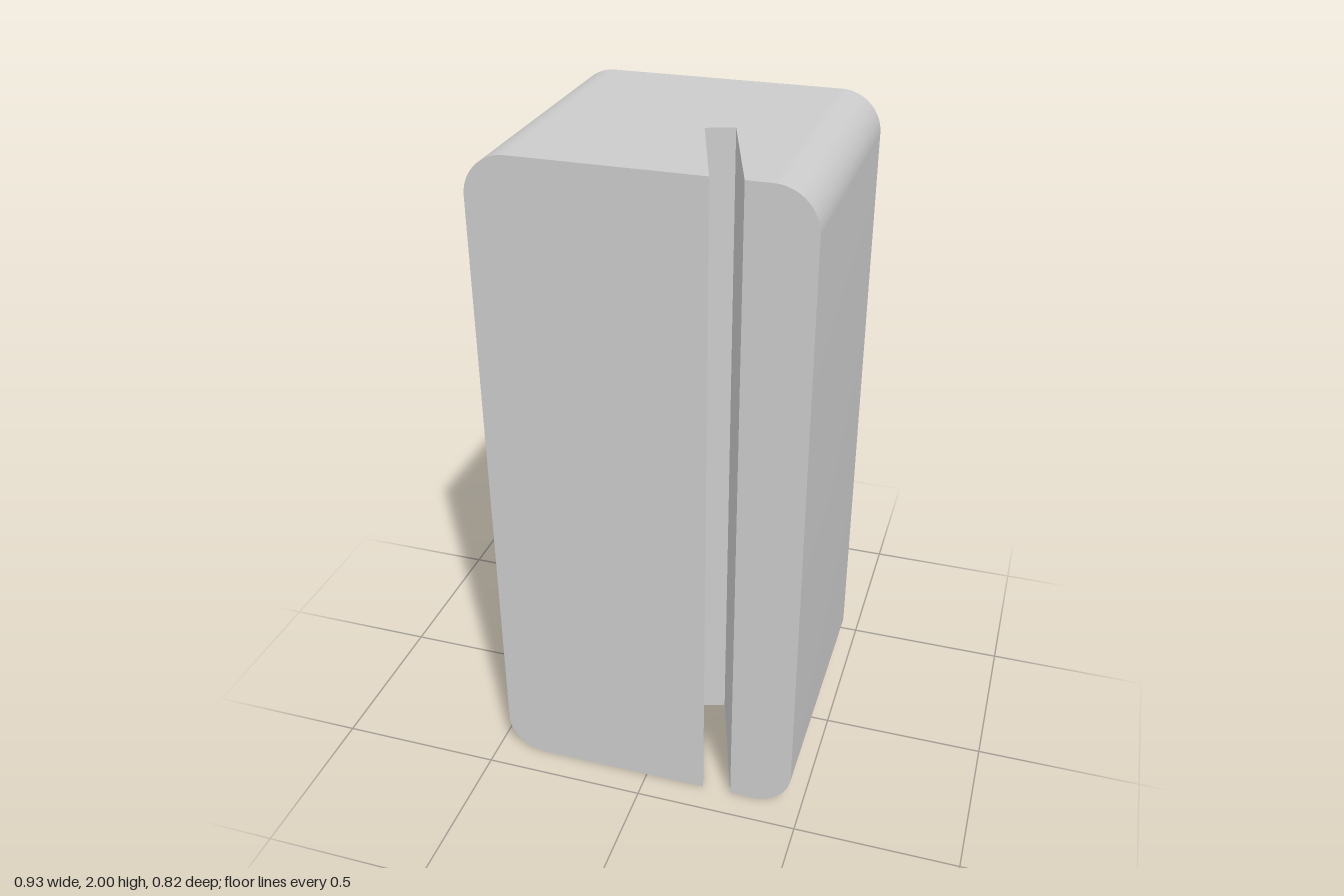
import * as THREE from 'three';
import { mergeGeometries, toCreasedNormals } from 'three/addons/utils/BufferGeometryUtils.js';

const W = 0.465, D = 0.412, H = 2, R = 0.12; // half width, half depth, height, edge radius
const SEAM = W - R; // where the flat top meets the rounded sides

// Remove the hidden walls where two sections meet
function dropSeam(geometry) {
  const p = geometry.attributes.position.array, keep = [];
  for (let i = 0; i < p.length; i += 9) {
    const onSeam = [-SEAM, SEAM].some(x => [0, 3, 6].every(k => Math.abs(p[i + k] - x) < 1e-4));
    if (!onSeam) keep.push(...p.slice(i, i + 9));
  }
  return new THREE.BufferGeometry().setAttribute('position', new THREE.Float32BufferAttribute(keep, 3));
}

// Flat middle: plan outline with the slanted slot, extruded upwards
function middleSection() {
  const plan = [
    [-SEAM, D], [0.187, D], [0.071, 0.053], [0.15, 0.027], [0.275, D],
    [SEAM, D], [SEAM, -D], [-SEAM, -D],
  ].map(([x, z]) => new THREE.Vector2(x, -z));
  const g = new THREE.ExtrudeGeometry(new THREE.Shape(plan), { depth: H, bevelEnabled: false });
  return dropSeam(g.rotateX(-Math.PI / 2));
}

// Side with rounded top and bottom edges, extruded front to back
function sideSection(left) {
  const s = new THREE.Shape();
  s.moveTo(SEAM, 0);
  s.absarc(SEAM, R, R, -Math.PI / 2, 0);
  s.absarc(SEAM, H - R, R, 0, Math.PI / 2);
  s.closePath();
  const g = new THREE.ExtrudeGeometry(s, { depth: 2 * D, bevelEnabled: false, curveSegments: 16 });
  g.translate(0, 0, -D);
  if (!left) g.rotateY(Math.PI);
  return dropSeam(g);
}

export function createModel() {
  const geometry = toCreasedNormals(
    mergeGeometries([middleSection(), sideSection(true), sideSection(false)]), 0.5);
  const block = new THREE.Mesh(geometry, new THREE.MeshStandardMaterial({ color: 0xcccccc }));
  block.name = 'slottedBlock';
  const group = new THREE.Group();
  group.name = 'slottedHolder';
  group.add(block);
  return group;
}
